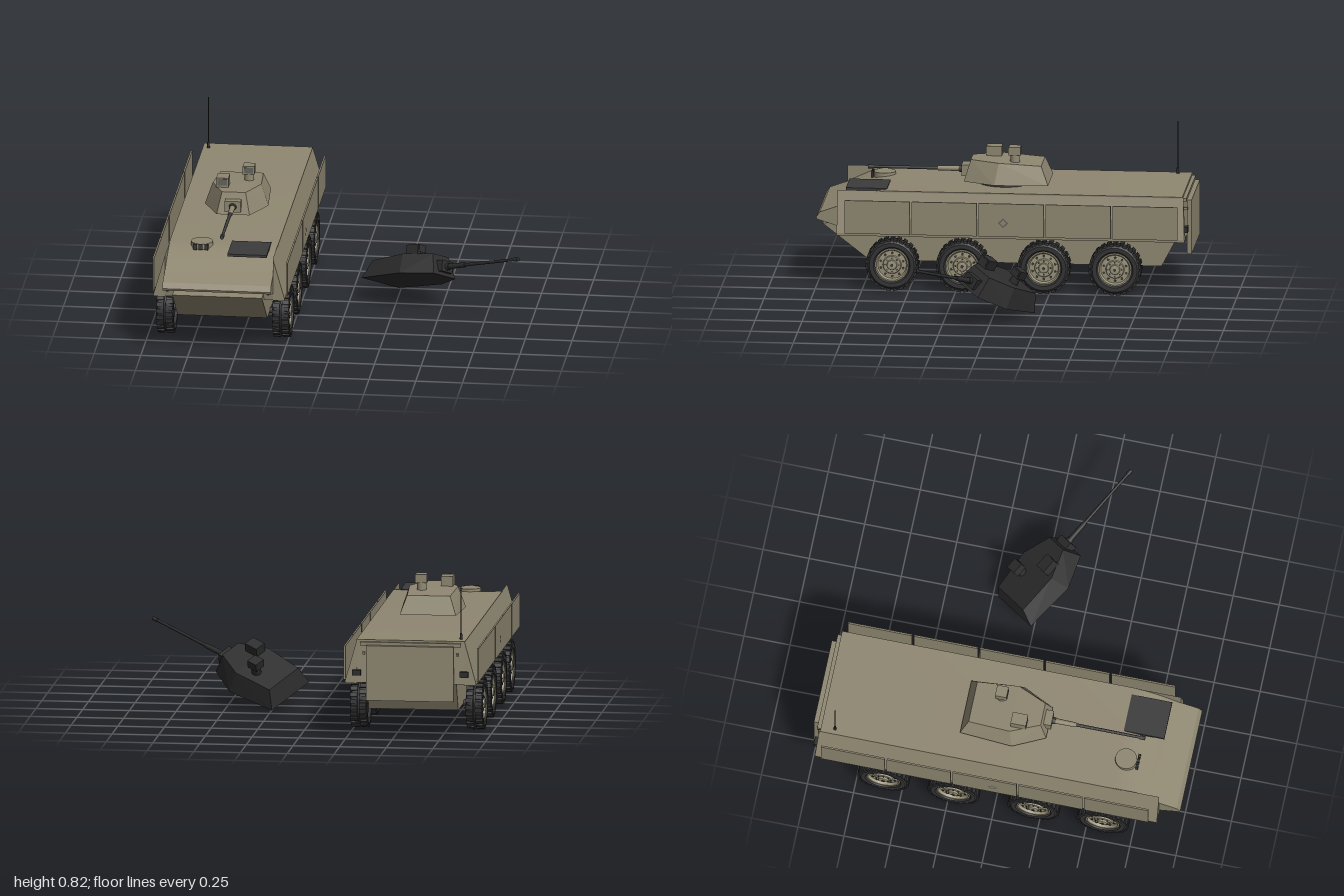
import * as THREE from 'three';
import { toCreasedNormals, mergeGeometries } from 'three/addons/utils/BufferGeometryUtils.js';
import { ConvexGeometry } from 'three/addons/geometries/ConvexGeometry.js';

const mat = (name, color) => {
  const m = new THREE.MeshStandardMaterial({ color });
  m.name = name;
  return m;
};
const armour = mat('olive tan armour', 0x8f8771);
const rimPaint = mat('light tan rim', 0x9c957c);
const rubber = mat('tyre rubber', 0x343436);
const steel = mat('dark steel', 0x3c3c3d);
const burnt = mat('burnt metal', 0x2d2d2e);
const glass = mat('grey glass', 0x66645c);

function add(parent, name, geometry, material, x = 0, y = 0, z = 0) {
  const mesh = new THREE.Mesh(geometry, material);
  mesh.name = name;
  mesh.position.set(x, y, z);
  parent.add(mesh);
  return mesh;
}
const box = (w, h, d) => new THREE.BoxGeometry(w, h, d);
const rodZ = (r0, r1, len, n = 14) => new THREE.CylinderGeometry(r1, r0, len, n).rotateX(Math.PI / 2);
const rodX = (r, len, n = 16) => new THREE.CylinderGeometry(r, r, len, n).rotateZ(-Math.PI / 2);

// Side profile given as [z, y], extruded across the width
function sideExtrude(points, width) {
  const shape = new THREE.Shape(points.map(([z, y]) => new THREE.Vector2(-z, y)));
  const g = new THREE.ExtrudeGeometry(shape, { depth: width, bevelEnabled: false });
  g.translate(0, 0, -width / 2).rotateY(Math.PI / 2);
  return toCreasedNormals(g, 0.4);
}

function buildHull(parent) {
  // Upper hull with a curved glacis and pointed nose
  add(parent, 'upperHull', sideExtrude([
    [-0.955, 0.53], [0.63, 0.53], [0.69, 0.523], [0.75, 0.505], [0.82, 0.474], [0.89, 0.44],
    [0.98, 0.408], [1.0, 0.38], [0.995, 0.368], [0.89, 0.335], [0.885, 0.3], [-0.97, 0.3],
  ], 0.58), armour);
  // Narrow lower hull between the wheels
  add(parent, 'lowerHull', sideExtrude([
    [0.97, 0.335], [0.72, 0.14], [-0.84, 0.14], [-0.925, 0.301], [0.88, 0.301], [0.885, 0.34],
  ], 0.48), armour);

  for (const s of [-1, 1]) {
    // Sloped sponson, a long wedge along each side
    const wedge = [];
    for (const z of [0.885, -0.96]) {
      for (const [x, y] of [[0.288, 0.53], [0.35, 0.31], [0.35, 0.296], [0.288, 0.296]]) {
        wedge.push(new THREE.Vector3(s * x, y, z - (z < 0 ? (0.53 - y) * 0.05 : 0)));
      }
    }
    add(parent, 'sponson', new ConvexGeometry(wedge), armour);

    // Upright add-on plates
    for (let i = 0; i < 5; i++) {
      add(parent, 'sidePlate', box(0.009, 0.18, 0.347), armour, s * 0.357, 0.4, 0.667 - i * 0.3575);
    }
    // Plain diamond frame on the middle plate
    const diamond = new THREE.RingGeometry(0.016, 0.028, 4).rotateY(s * Math.PI / 2);
    add(parent, 'diamondMark', diamond, glass, s * 0.3625, 0.385, -0.005);

    // Rear lamps and nose lamps
    add(parent, 'rearLamp', box(0.045, 0.03, 0.02), burnt, s * 0.288, 0.355, -0.976);
    add(parent, 'rearHinge', box(0.012, 0.014, 0.02), armour, s * 0.25, 0.46, -0.97);
    add(parent, 'noseLamp', rodZ(0.008, 0.008, 0.02), steel, s * 0.27, 0.352, 0.935);
  }

  // Rear ramp door
  add(parent, 'rearFrame', box(0.54, 0.02, 0.02), armour, 0, 0.51, -0.965);
  add(parent, 'rearRamp', box(0.47, 0.295, 0.025), armour, 0, 0.357, -0.9875);

  // Deck fittings
  add(parent, 'engineGrille', box(0.21, 0.014, 0.22), steel, 0.145, 0.527, 0.735);
  add(parent, 'driverHatch', new THREE.CylinderGeometry(0.058, 0.06, 0.03, 28), armour, -0.115, 0.529, 0.67);
  for (let i = -1; i <= 1; i++) {
    add(parent, 'periscope', box(0.02, 0.03, 0.012), steel, -0.115 + i * 0.03, 0.53, 0.735);
  }

  // Whip antenna
  add(parent, 'antennaBase', new THREE.CylinderGeometry(0.006, 0.008, 0.035, 10), burnt, -0.26, 0.545, -0.88);
  add(parent, 'antenna', new THREE.CylinderGeometry(0.0025, 0.0025, 0.26, 6), burnt, -0.26, 0.685, -0.88);
}

// Tyre, tread and rim geometry, with the outer face towards +x
const ringLathe = (pts, n) => toCreasedNormals(
  new THREE.LatheGeometry(pts.map(([r, x]) => new THREE.Vector2(r, x)), n).rotateZ(-Math.PI / 2), 0.5);

function makeWheelParts() {
  const tyre = ringLathe([
    [0, -0.03], [0.085, -0.032], [0.095, -0.045], [0.12, -0.046], [0.131, -0.038], [0.134, -0.006],
    [0.126, -0.004], [0.126, 0.004], [0.134, 0.006], [0.131, 0.038], [0.12, 0.046], [0.098, 0.045],
    [0.088, 0.03], [0.086, 0.015],
  ], 36);
  const blocks = [];
  for (let i = 0; i < 24; i++) {
    for (const s of [-1, 1]) {
      const b = box(0.038, 0.012, 0.023).translate(s * 0.0245, 0.134, 0);
      blocks.push(b.rotateX((i + (s > 0 ? 0.5 : 0)) * Math.PI / 12));
    }
  }
  const rim = ringLathe([
    [0.09, 0.01], [0.09, 0.038], [0.083, 0.038], [0.076, 0.024], [0.05, 0.026], [0.046, 0.034],
    [0.028, 0.034], [0.025, 0.044], [0.014, 0.046], [0, 0.046],
  ], 32);
  const ringOf = (count, radius, x, r, len) => mergeGeometries(Array.from({ length: count }, (_, i) =>
    rodX(r, len, 8).translate(x, radius, 0).rotateX(i * 2 * Math.PI / count)));
  return [
    ['tyre', tyre, rubber], ['tread', mergeGeometries(blocks), rubber], ['rim', rim, rimPaint],
    ['rimHoles', ringOf(10, 0.063, 0.0255, 0.007, 0.006), steel],
    ['wheelNuts', ringOf(8, 0.037, 0.036, 0.004, 0.006), steel],
    ['hubCap', rodX(0.008, 0.006, 12).translate(0.047, 0, 0), steel],
  ];
}

function buildWheels(parent) {
  const parts = makeWheelParts();
  for (const z of [0.59, 0.215, -0.22, -0.6]) {
    for (const s of [-1, 1]) {
      const wheel = new THREE.Group();
      wheel.name = 'wheel';
      for (const [name, geometry, material] of parts) add(wheel, name, geometry, material);
      wheel.position.set(s * 0.31, 0.14, z);
      if (s < 0) wheel.rotation.y = Math.PI;
      parent.add(wheel);
    }
    add(parent, 'axle', rodX(0.016, 0.58), steel, 0, 0.14, z);
  }
}

// Turret with its base at y = 0 and its gun along +z
function buildTurret(name, body, gun, lens) {
  const turret = new THREE.Group();
  turret.name = name;
  const loops = [
    [[0.15, 0, -0.225], [0.17, 0, 0.06], [0.088, 0, 0.23]],
    [[0.115, 0.098, -0.185], [0.13, 0.113, 0.04], [0.063, 0.115, 0.195]],
  ];
  const corners = loops.flat().flatMap(([x, y, z]) => [-1, 1].map(s => new THREE.Vector3(s * x, y, z)));
  add(turret, 'turretBody', new ConvexGeometry(corners), body);

  // Gun
  add(turret, 'mantlet', box(0.085, 0.06, 0.05), body, 0, 0.05, 0.222);
  add(turret, 'gunCollar', rodZ(0.02, 0.018, 0.02, 18), gun, 0, 0.05, 0.254);
  add(turret, 'gunSleeve', rodZ(0.015, 0.013, 0.13), body, 0, 0.05, 0.31);
  add(turret, 'barrel', rodZ(0.009, 0.0075, 0.38), gun, 0, 0.05, 0.55);
  add(turret, 'muzzle', rodZ(0.011, 0.011, 0.03), gun, 0, 0.05, 0.735);

  // Sights
  add(turret, 'gunnerSight', box(0.065, 0.055, 0.082), body, -0.07, 0.138, 0.08);
  add(turret, 'gunnerLens', box(0.05, 0.035, 0.004), lens, -0.07, 0.143, 0.122);
  add(turret, 'sightPost', new THREE.CylinderGeometry(0.024, 0.026, 0.045, 16), body, 0.055, 0.126, -0.04);
  add(turret, 'commanderSight', box(0.062, 0.045, 0.062), body, 0.055, 0.169, -0.04);
  add(turret, 'commanderLens', box(0.048, 0.03, 0.004), lens, 0.055, 0.169, -0.008);
  return turret;
}

export function createModel() {
  const model = new THREE.Group();
  model.name = 'armouredCarrier';

  const vehicle = new THREE.Group();
  vehicle.name = 'vehicle';
  vehicle.position.x = -0.595;
  model.add(vehicle);
  buildHull(vehicle);
  buildWheels(vehicle);
  add(vehicle, 'turretRing', new THREE.CylinderGeometry(0.15, 0.15, 0.02, 32), steel, 0, 0.536, 0.015);
  const turret = buildTurret('turret', armour, steel, glass);
  turret.position.y = 0.543;
  vehicle.add(turret);

  // Burnt turret lying tilted on the ground beside the vehicle
  const wreck = buildTurret('wreckedTurret', burnt, burnt, burnt);
  const forward = new THREE.Vector3(0.81, 0.287, 0.505).normalize();
  const side = new THREE.Vector3(0, 0.866, -0.5).cross(forward).normalize();
  const up = forward.clone().cross(side);
  wreck.quaternion.setFromRotationMatrix(new THREE.Matrix4().makeBasis(side, up, forward));
  wreck.position.set(0.336, 0.137, 0);
  model.add(wreck);
  return model;
}
